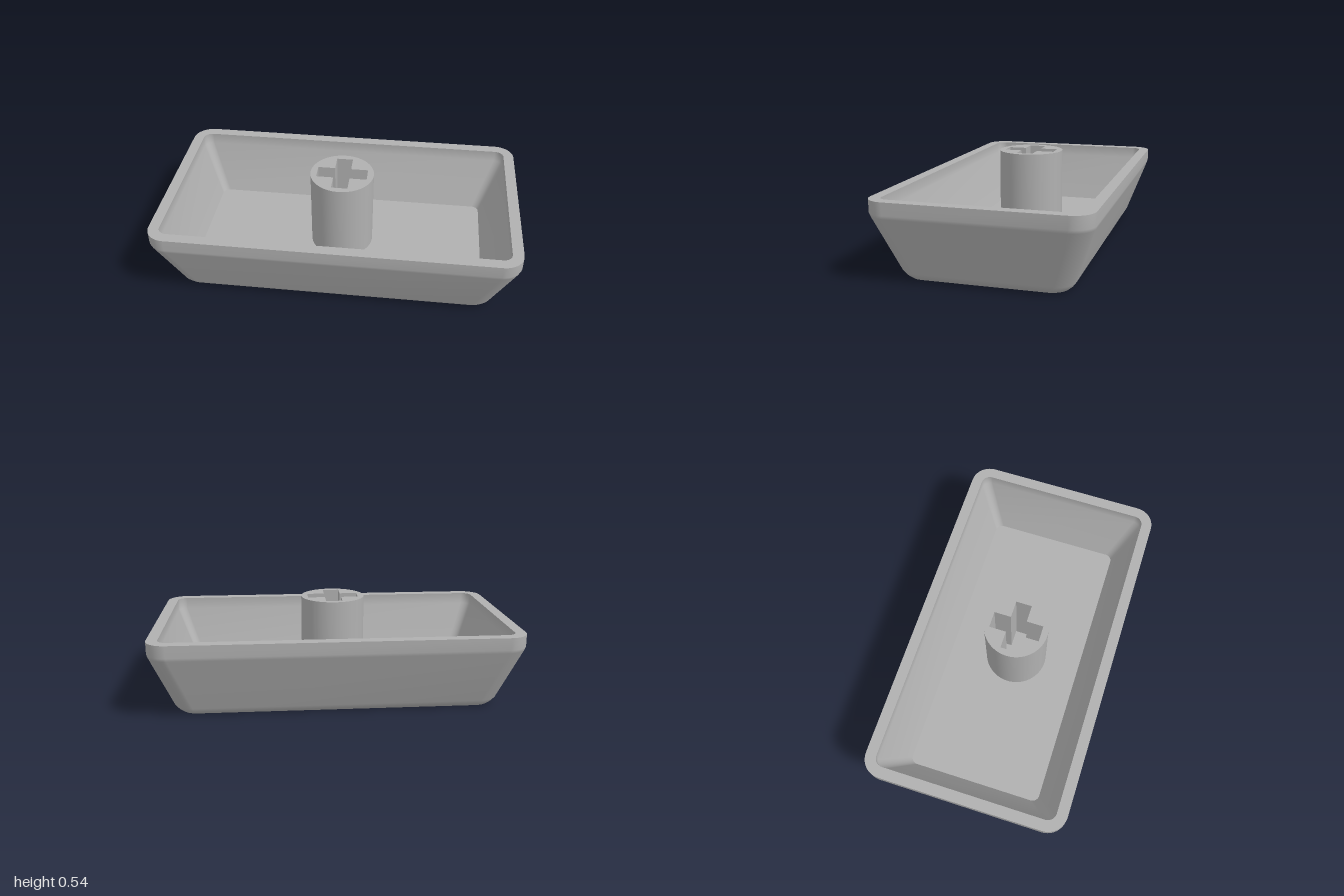
import * as THREE from 'three';
import { toCreasedNormals } from 'three/addons/utils/BufferGeometryUtils.js';

const CORNER_STEPS = 10;

// Rounded-rectangle ring in the xz plane: half width, half depth, corner radius, height
function ring([hx, hz, r, y]) {
  const points = [];
  const signs = [[1, 1], [-1, 1], [-1, -1], [1, -1]];
  signs.forEach(([sx, sz], corner) => {
    for (let k = 0; k <= CORNER_STEPS; k++) {
      const a = (corner + k / CORNER_STEPS) * Math.PI / 2;
      points.push([sx * (hx - r) + r * Math.cos(a), y, sz * (hz - r) + r * Math.sin(a)]);
    }
  });
  return points;
}

// Skin through successive rings
function loft(sections) {
  const rings = sections.map(ring);
  const n = rings[0].length;
  const index = [];
  for (let j = 0; j < rings.length - 1; j++) {
    for (let i = 0; i < n; i++) {
      const a = j * n + i, b = j * n + (i + 1) % n;
      index.push(a, a + n, b, b, a + n, b + n);
    }
  }
  const geometry = new THREE.BufferGeometry();
  geometry.setAttribute('position', new THREE.Float32BufferAttribute(rings.flat(2), 3));
  geometry.setIndex(index);
  geometry.computeVertexNormals();
  return geometry;
}

export function createModel() {
  const group = new THREE.Group();
  const plastic = new THREE.MeshStandardMaterial({ color: 0xb0b0b0 });
  plastic.name = 'grey plastic';
  const add = (name, geometry) => {
    const mesh = new THREE.Mesh(geometry, plastic);
    mesh.name = name;
    group.add(mesh);
  };

  const top = 0.425, floorY = 0.08;
  const base = [0.85, 0.415, 0.09, 0];
  const outerRim = [1, 0.565, 0.11, top];
  const innerRim = [0.94, 0.505, 0.05, top];
  const floorEdge = [0.82, 0.385, 0.04, floorY];

  // Tapered shell with a softened lower edge and a straight lip
  add('outerWall', loft([base, [0.868, 0.433, 0.1, 0.016], [0.885, 0.45, 0.105, 0.04],
    [0.995, 0.56, 0.11, 0.34], [1, 0.565, 0.11, 0.358], outerRim]));
  add('base', loft([[0, 0, 0, 0], base]));
  add('rim', loft([outerRim, innerRim]));
  add('innerWall', loft([innerRim, [0.94, 0.505, 0.05, 0.36], floorEdge]));
  add('innerFloor', loft([floorEdge, [0, 0, 0, floorY]]));

  // Round post with a cross-shaped socket
  const post = new THREE.Shape().absarc(0, 0, 0.18, 0, Math.PI * 2, false);
  const l = 0.143, w = 0.046;
  const cross = [[l, w], [w, w], [w, l], [-w, l], [-w, w], [-l, w],
    [-l, -w], [-w, -w], [-w, -l], [w, -l], [w, -w], [l, -w]];
  post.holes.push(new THREE.Path(cross.map(([x, y]) => new THREE.Vector2(x, y))));
  const stem = new THREE.ExtrudeGeometry(post, {
    depth: 0.542 - floorY, bevelEnabled: false, curveSegments: 48,
  });
  stem.rotateX(-Math.PI / 2);
  stem.translate(0, floorY, 0);
  add('stem', toCreasedNormals(stem, 0.5));

  return group;
}
